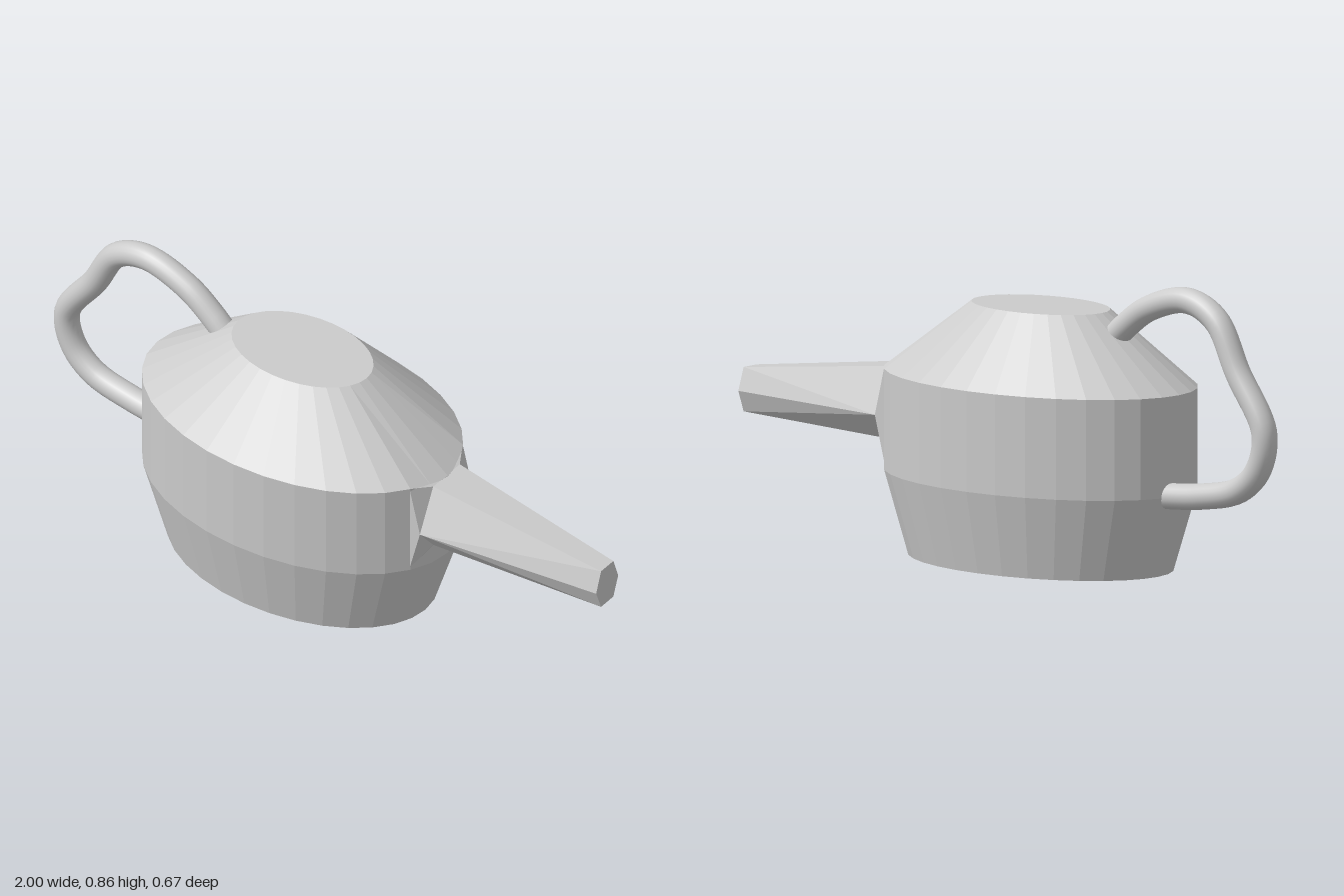
import * as THREE from 'three';
import { ConvexGeometry } from 'three/addons/geometries/ConvexGeometry.js';

const flat = new THREE.MeshStandardMaterial({ color: 0xcccccc, flatShading: true });
const smooth = new THREE.MeshStandardMaterial({ color: 0xcccccc, side: THREE.DoubleSide });

function add(group, name, geometry, material) {
  const mesh = new THREE.Mesh(geometry, material);
  mesh.name = name;
  group.add(mesh);
}

// Six-sided cross-section of the spout: [height, half width] from top to bottom
function hexagon(x, rows) {
  return rows.flatMap(([y, z]) => [new THREE.Vector3(x, y, z), new THREE.Vector3(x, y, -z)]);
}

function createBody() {
  const profile = [[0, 0], [0.44, 0], [0.52, 0.245], [0.52, 0.54], [0.23, 0.75], [0, 0.75]];
  const geo = new THREE.LatheGeometry(profile.map(([r, y]) => new THREE.Vector2(r, y)), 32);
  geo.scale(1, 1, 0.648);
  // The shoulder dips a little where the spout leaves the body
  const pos = geo.attributes.position;
  for (let i = 0; i < pos.count; i++) {
    const onShoulder = Math.abs(pos.getY(i) - 0.54) < 0.001;
    if (onShoulder && pos.getX(i) > 0.5) pos.setY(i, 0.525);
  }
  geo.translate(-0.09, 0, 0);
  return geo;
}

export function createModel() {
  const group = new THREE.Group();
  group.name = 'teapot';

  // Oval body, flat on top and bottom
  add(group, 'body', createBody(), flat);

  // Tapered spout
  const base = hexagon(0.425, [[0.525, 0.065], [0.39, 0.13], [0.312, 0.065]]);
  const tip = hexagon(1, [[0.457, 0.03], [0.39, 0.054], [0.327, 0.03]]);
  add(group, 'spout', new ConvexGeometry([...base, ...tip]), flat);

  // Collar joining the spout to the body
  const root = hexagon(0.388, [[0.54, 0.13], [0.25, 0.13]]);
  add(group, 'spoutCollar', new ConvexGeometry([...base, ...root]), flat);

  // Looped handle, leaning slightly to the back
  const path = [
    [-0.365, 0.682, 0], [-0.41, 0.722, -0.002], [-0.5, 0.783, -0.005], [-0.65, 0.822, -0.01],
    [-0.765, 0.775, -0.018], [-0.85, 0.635, -0.026], [-0.957, 0.47, -0.035], [-0.935, 0.36, -0.035],
    [-0.86, 0.292, -0.033], [-0.72, 0.259, -0.032], [-0.57, 0.245, -0.03],
  ];
  const curve = new THREE.CatmullRomCurve3(path.map((p) => new THREE.Vector3(...p)));
  add(group, 'handle', new THREE.TubeGeometry(curve, 72, 0.038, 20), smooth);

  return group;
}
